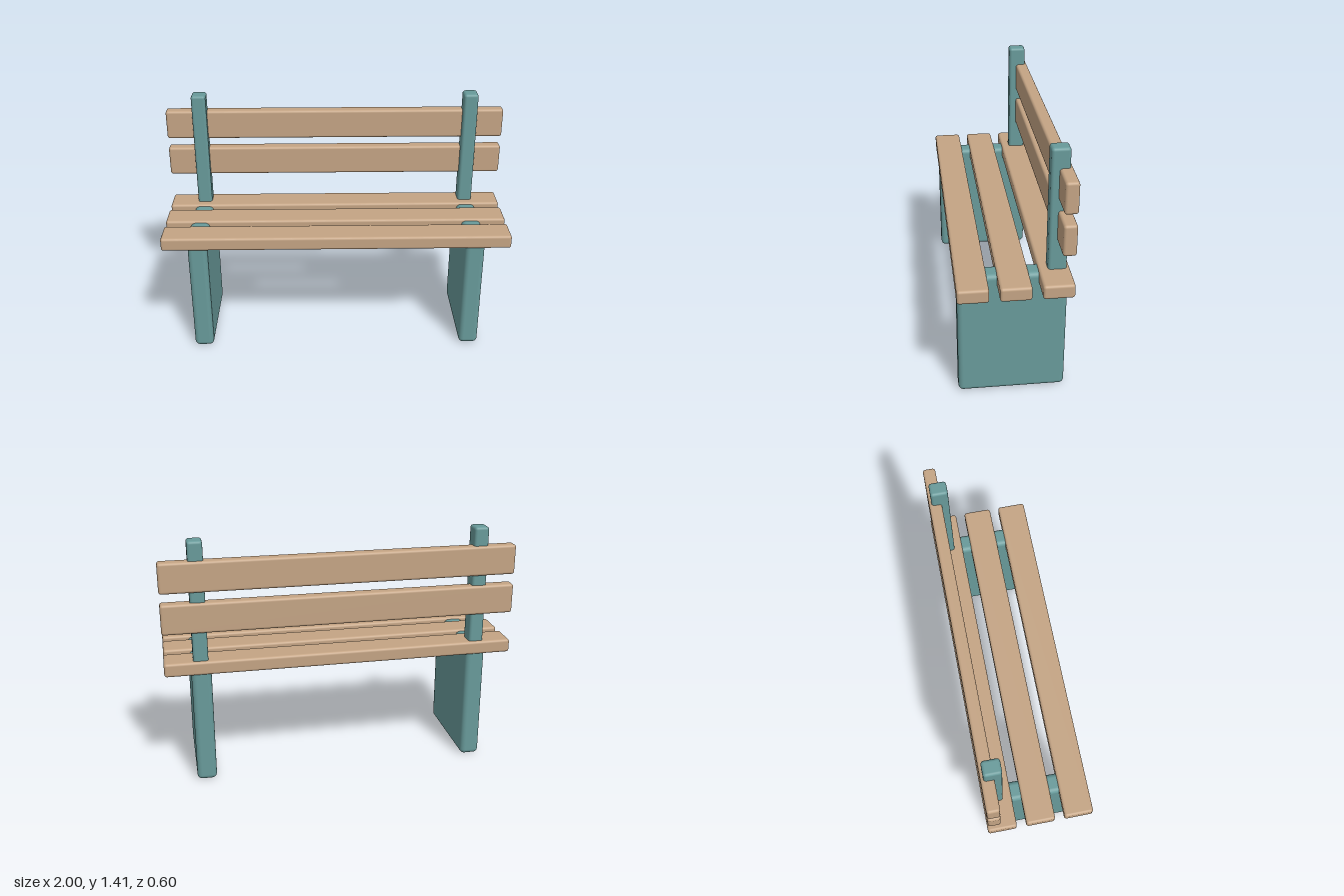
import * as THREE from 'three';
import { RoundedBoxGeometry } from 'three/addons/geometries/RoundedBoxGeometry.js';

export function createModel() {
  const bench = new THREE.Group();
  bench.name = 'bench';
  const wood = new THREE.MeshStandardMaterial({ color: 0xc4a484 });
  const paint = new THREE.MeshStandardMaterial({ color: 0x689a9a });

  // Rounded block given by its extents along each axis
  function block(name, material, [x0, x1], [y0, y1], [z0, z1], radius) {
    const geometry = new RoundedBoxGeometry(x1 - x0, y1 - y0, z1 - z0, 3, radius);
    const mesh = new THREE.Mesh(geometry, material);
    mesh.position.set((x0 + x1) / 2, (y0 + y1) / 2, (z0 + z1) / 2);
    mesh.name = name;
    bench.add(mesh);
  }

  // Panel legs and back posts, mirrored left and right
  for (const [side, s] of [['left', 1], ['right', -1]]) {
    const x = 0.797 * s;
    block(side + 'Leg', paint, [x - 0.056, x + 0.056], [0, 0.727], [-0.29, 0.29], 0.028);
    block(side + 'BackPost', paint, [x - 0.042, x + 0.042], [0.64, 1.414], [-0.282, -0.184], 0.016);
  }

  // Three seat slats
  [['rear', -0.218], ['middle', 0], ['front', 0.218]].forEach(([place, z]) => {
    block(place + 'SeatSlat', wood, [-1, 1], [0.66, 0.738], [z - 0.082, z + 0.082], 0.015);
  });

  // Two backrest slats behind the posts
  [['lower', 0.99], ['upper', 1.221]].forEach(([place, y]) => {
    block(place + 'BackSlat', wood, [-1, 1], [y - 0.086, y + 0.086], [-0.297, -0.226], 0.015);
  });

  return bench;
}
